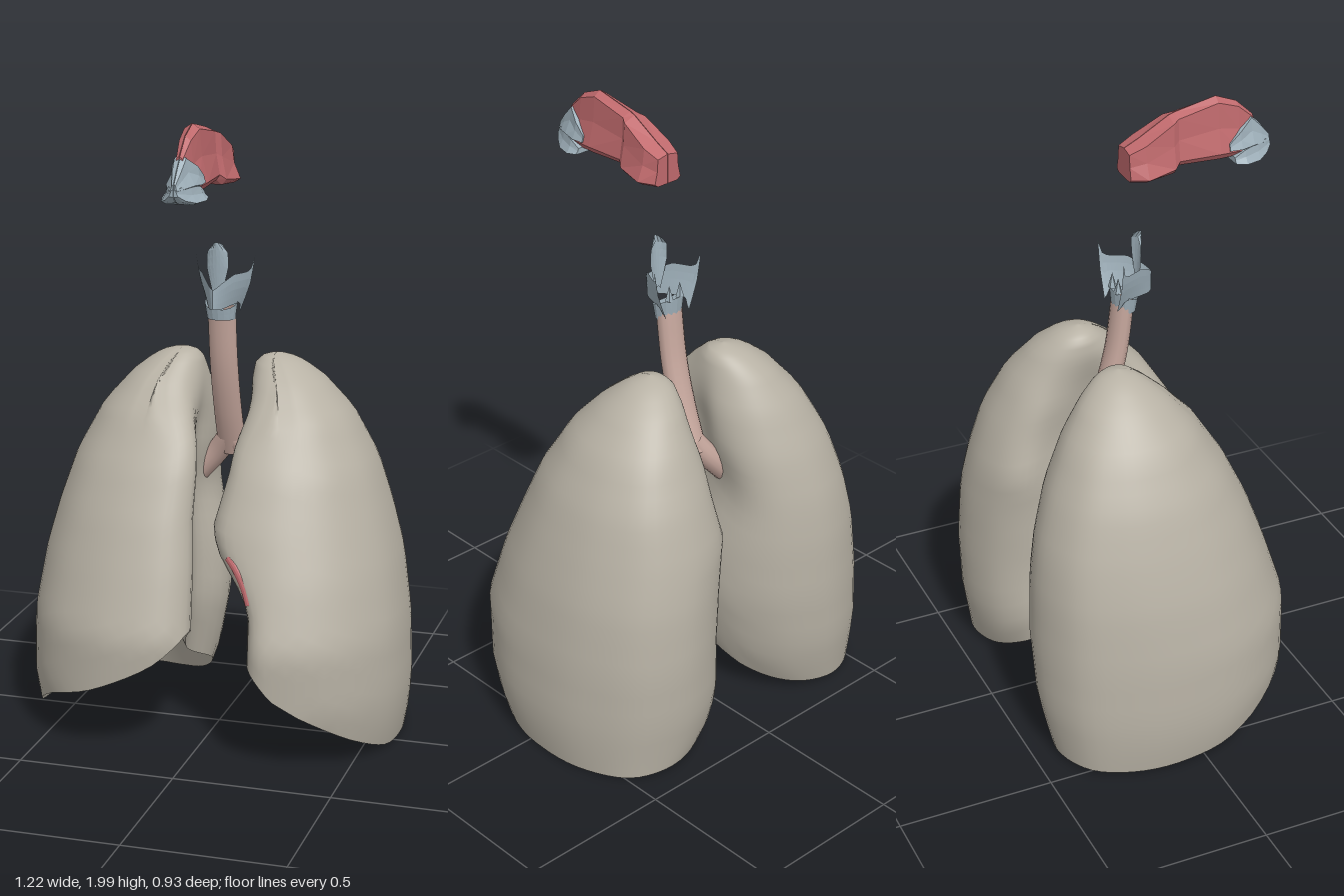
import * as THREE from 'three';
import { mergeVertices } from 'three/addons/utils/BufferGeometryUtils.js';

const { smoothstep, lerp, clamp } = THREE.MathUtils;
const material = (color, flatShading = false) =>
  new THREE.MeshStandardMaterial({ color, flatShading, side: THREE.DoubleSide });
const lungMat = material(0xb8b2a5);
const airwayMat = material(0xc6a79d);
const cartilageMat = material(0x9fb0ba, true);
const mucosaMat = material(0xc06a6d, true);

function addMesh(parent, name, geometry, mat) {
  const mesh = new THREE.Mesh(geometry, mat);
  mesh.name = name;
  parent.add(mesh);
  return mesh;
}

// Grid surface: point(s, t) with s and t in 0..1; normals follow ds x dt unless flipped
function surface(rows, cols, point, flip = false) {
  const pos = [], idx = [];
  for (let i = 0; i <= rows; i++)
    for (let j = 0; j <= cols; j++) pos.push(...point(i / rows, j / cols));
  for (let i = 0; i < rows; i++)
    for (let j = 0; j < cols; j++) {
      const a = i * (cols + 1) + j, b = a + cols + 1, c = a + 1, d = b + 1;
      if (flip) idx.push(a, c, b, b, c, d);
      else idx.push(a, b, c, b, d, c);
    }
  let g = new THREE.BufferGeometry();
  g.setAttribute('position', new THREE.Float32BufferAttribute(pos, 3));
  g.setIndex(idx);
  g = mergeVertices(g, 1e-5);
  g.computeVertexNormals();
  return g;
}

// Interpolate rows of a table keyed by its first column (ascending)
function lookup(table, key) {
  let k = 0;
  while (k < table.length - 2 && key > table[k + 1][0]) k++;
  const a = table[k], b = table[k + 1];
  const f = clamp((key - a[0]) / (b[0] - a[0]), 0, 1);
  return a.map((v, n) => v + (b[n] - v) * f);
}

const APEX = 1.232;
// Height, lateral x, back z, front z, medial x of the right lung, medial x of the left lung
const levels = [
  [0, 0.585, -0.42, 0.3, 0.14, 0.16], [0.1, 0.605, -0.44, 0.355, 0.07, 0.085],
  [0.2, 0.612, -0.458, 0.395, 0.03, 0.06],
  [0.4, 0.605, -0.465, 0.405, -0.01, 0.07], [0.6, 0.575, -0.457, 0.34, 0, 0.06],
  [0.75, 0.535, -0.435, 0.285, 0.015, 0.03], [0.9, 0.485, -0.39, 0.215, 0.02, 0.065],
  [1.05, 0.405, -0.32, 0.12, 0.045, 0.08], [1.15, 0.315, -0.25, 0.03, 0.075, 0.08],
  [1.2, 0.25, -0.195, -0.03, 0.09, 0.09], [1.222, 0.205, -0.155, -0.065, 0.11, 0.115],
  [APEX, 0.155, -0.11, -0.11, 0.155, 0.155],
];
// Outlines of a lung section: medial-to-lateral u, back-to-front v, height of the lower margin
const closedCurve = (points) =>
  new THREE.CatmullRomCurve3(points.map((p) => new THREE.Vector3(...p)), true);
const rightOutline = closedCurve([
  [0.53, -1, 0.025], [0.8, -0.86, 0.02], [0.95, -0.5, 0.015], [1, -0.05, 0.025],
  [0.95, 0.4, 0.06], [0.75, 0.8, 0.165], [0.45, 1, 0.235], [0.16, 0.98, 0.33],
  [0.03, 0.8, 0.42], [0.1, 0.45, 0.35], [0.14, 0.1, 0.25], [0.05, -0.32, 0.16],
  [0.12, -0.67, 0.07], [0.28, -0.9, 0.035],
]);
const leftOutline = closedCurve([
  [0.47, -1, 0.025], [0.75, -0.88, 0.015], [0.94, -0.5, 0.012], [1, -0.05, 0.015],
  [0.95, 0.4, 0.03], [0.75, 0.8, 0.12], [0.45, 1, 0.24], [0.14, 0.98, 0.335],
  [0.03, 0.8, 0.35], [0.1, 0.45, 0.33], [0.14, 0.1, 0.25], [0.05, -0.35, 0.17],
  [0.06, -0.7, 0.09], [0.2, -0.91, 0.04],
]);

function makeLung(name, side) {
  const group = new THREE.Group();
  group.name = name;
  const outline = side > 0 ? leftOutline : rightOutline;
  const wall = (s, t) => {
    const { x: rawU, y: v, z: margin } = outline.getPoint(t % 1);
    const y = margin + (APEX - margin) * Math.sin(s * Math.PI / 2);
    const [, lateral, back, front, medialRight, medialLeft] = lookup(levels, y);
    const medial = side > 0 ? medialLeft : medialRight;
    // Sections turn into plain ovals towards the apex
    const oval = 0.5 + Math.sign(rawU - 0.5) * 0.5 * Math.sqrt(Math.max(0, 1 - v * v));
    const u = lerp(rawU, oval, smoothstep(y, 0.95, 1.2));
    let x = medial + (lateral - medial) * u;
    // Hollow in the medial wall where the bronchus enters
    x += 0.05 * Math.exp(-(((y - 0.78) / 0.14) ** 2) - ((v + 0.25) / 0.4) ** 2)
      * Math.max(0, 1 - u * 3);
    // Cardiac notch on the left lung's front edge
    if (side > 0) {
      const notch = 1 - smoothstep(y, 0.48, 0.71);
      x += 0.11 * notch * smoothstep(v, 0.3, 0.8) * Math.max(0, 1 - u * 2.5);
    }
    return [x * side, y, (back + front) / 2 + (front - back) / 2 * v];
  };
  addMesh(group, name + 'Wall', surface(30, 64, wall, side < 0), lungMat);
  // Hollow underside that rests on the diaphragm
  const underside = (s, t) => {
    const [x, y, z] = wall(0, t);
    const cx = 0.33 * side, cz = -0.03, k = s ** 2.6;
    return [cx + (x - cx) * s, 0.42 + (y - 0.42) * k, cz + (z - cz) * s];
  };
  addMesh(group, name + 'Underside', surface(12, 64, underside, side < 0), lungMat);
  return group;
}

function tube(points, radius, depth = 1) {
  const path = new THREE.CatmullRomCurve3(
    points.map(([x, y, z]) => new THREE.Vector3(x, y, z / depth)));
  return new THREE.TubeGeometry(path, 16, radius, 14).scale(1, 1, depth);
}

function makeAirway() {
  const g = new THREE.Group();
  g.name = 'airway';
  addMesh(g, 'trachea', tube([[0, 1.38, -0.025], [0, 1.2, -0.05], [0, 1.05, -0.09],
    [0, 0.9, -0.145]], 0.046, 0.72), airwayMat);
  addMesh(g, 'rightBronchus',
    tube([[0, 0.95, -0.13], [-0.05, 0.88, -0.152], [-0.15, 0.77, -0.165]], 0.037), airwayMat);
  addMesh(g, 'leftBronchus',
    tube([[0, 0.95, -0.13], [0.06, 0.87, -0.15], [0.17, 0.76, -0.165]], 0.035), airwayMat);
  return g;
}

function makeLarynx() {
  const g = new THREE.Group();
  g.name = 'larynx';
  // Shield plates: distance from the midline, top height, bottom height
  const edge = [[0, 1.455, 1.395], [0.2, 1.475, 1.39], [0.5, 1.497, 1.395],
    [0.85, 1.497, 1.4], [0.94, 1.505, 1.375], [1, 1.548, 1.365]];
  const widths = [[1.36, 0.046], [1.4, 0.062], [1.46, 0.083], [1.55, 0.098]];
  const shield = (s, t) => {
    const u = t * 2 - 1, a = Math.abs(u);
    const [, top, bottom] = lookup(edge, a);
    const y = bottom + (top - bottom) * s;
    return [Math.sign(u) * lookup(widths, y)[1] * Math.pow(a, 0.8), y,
      0.072 - 0.137 * Math.pow(a, 1.2)];
  };
  addMesh(g, 'thyroidCartilage', surface(4, 32, shield), cartilageMat);
  // Ring under the shield, with a tall plate at the back
  const ring = (s, t) => {
    const a = t * Math.PI * 2, rear = (1 - Math.cos(a)) / 2;
    const r = 0.045 + 0.008 * s;
    return [r * Math.sin(a), 1.348 + s * (0.035 + 0.04 * rear), -0.022 + 0.8 * r * Math.cos(a)];
  };
  addMesh(g, 'cricoidCartilage', surface(2, 16, ring, true), cartilageMat);
  for (const side of [-1, 1]) {
    const cone = new THREE.ConeGeometry(0.014, 0.05, 5).translate(0.022 * side, 1.44, -0.05);
    addMesh(g, 'arytenoidCartilage', cone, cartilageMat);
  }
  // Leaf-shaped flap, curved across
  const leaf = [[0, 0.01], [0.3, 0.024], [0.6, 0.036], [0.85, 0.034], [1, 0.015]];
  const flap = (s, t) => {
    const u = t * 2 - 1;
    return [u * lookup(leaf, s)[1], 1.43 + 0.17 * s - 0.01 * u * u,
      0.024 + 0.014 * s - 0.02 * u * u * s];
  };
  addMesh(g, 'epiglottis', surface(7, 6, flap), cartilageMat);
  return g;
}

// Half of a nasal part. Sections: z, top half-width, bottom half-width, top y, bottom y
function nasalHalf(sections, side) {
  const rings = sections.map(([z, a, b, top, bottom]) => {
    const h = top - bottom, x0 = 0.001;
    return [[x0, top], [x0, bottom], [b * 0.75, bottom], [b, bottom + h * 0.1],
      [a * 0.75 + b * 0.25, bottom + h * 0.5], [a, top - h * 0.08], [x0, top]]
      .map(([x, y]) => [x * side, y, z]);
  });
  const flat = (ring) => ring.map(() => [0, 1, 2].map((k) =>
    ring.reduce((sum, p) => sum + p[k], 0) / ring.length));
  const all = [flat(rings[0]), ...rings, flat(rings[rings.length - 1])];
  const n = all.length - 1;
  return surface(n, 6, (s, t) => all[Math.round(s * n)][Math.round(t * 6)], side < 0);
}

function makeNose() {
  const g = new THREE.Group();
  g.name = 'nose';
  const cavity = [[-0.02, 0.04, 0.052, 1.885, 1.79], [0.03, 0.05, 0.077, 1.91, 1.788],
    [0.125, 0.042, 0.06, 1.965, 1.795], [0.145, 0.03, 0.045, 1.972, 1.812],
    [0.28, 0.024, 0.05, 2, 1.808], [0.35, 0.018, 0.045, 1.972, 1.808],
    [0.405, 0.01, 0.03, 1.92, 1.81]];
  const upper = [[0.31, 0.046, 0.052, 1.855, 1.83], [0.35, 0.04, 0.054, 1.89, 1.825],
    [0.395, 0.018, 0.045, 1.922, 1.825], [0.43, 0.014, 0.03, 1.885, 1.825],
    [0.462, 0.006, 0.012, 1.845, 1.825]];
  const lower = [[0.325, 0.052, 0.064, 1.81, 1.79], [0.36, 0.052, 0.07, 1.832, 1.782],
    [0.41, 0.036, 0.055, 1.84, 1.78], [0.445, 0.02, 0.032, 1.84, 1.792],
    [0.464, 0.008, 0.014, 1.83, 1.81]];
  for (const [side, label] of [[-1, 'right'], [1, 'left']]) {
    addMesh(g, label + 'NasalCavity', nasalHalf(cavity, side), mucosaMat);
    addMesh(g, label + 'UpperNasalCartilage', nasalHalf(upper, side), cartilageMat);
    addMesh(g, label + 'NostrilCartilage', nasalHalf(lower, side), cartilageMat);
  }
  return g;
}

export function createModel() {
  const model = new THREE.Group();
  model.name = 'respiratorySystem';
  model.add(makeLung('rightLung', -1), makeLung('leftLung', 1),
    makeAirway(), makeLarynx(), makeNose());
  // Exposed tissue along the upper rim of the cardiac notch
  addMesh(model, 'notchRim', tube([[0.12, 0.67, 0.29], [0.15, 0.64, 0.31],
    [0.18, 0.59, 0.325], [0.2, 0.54, 0.34]], 0.016), mucosaMat);
  return model;
}
